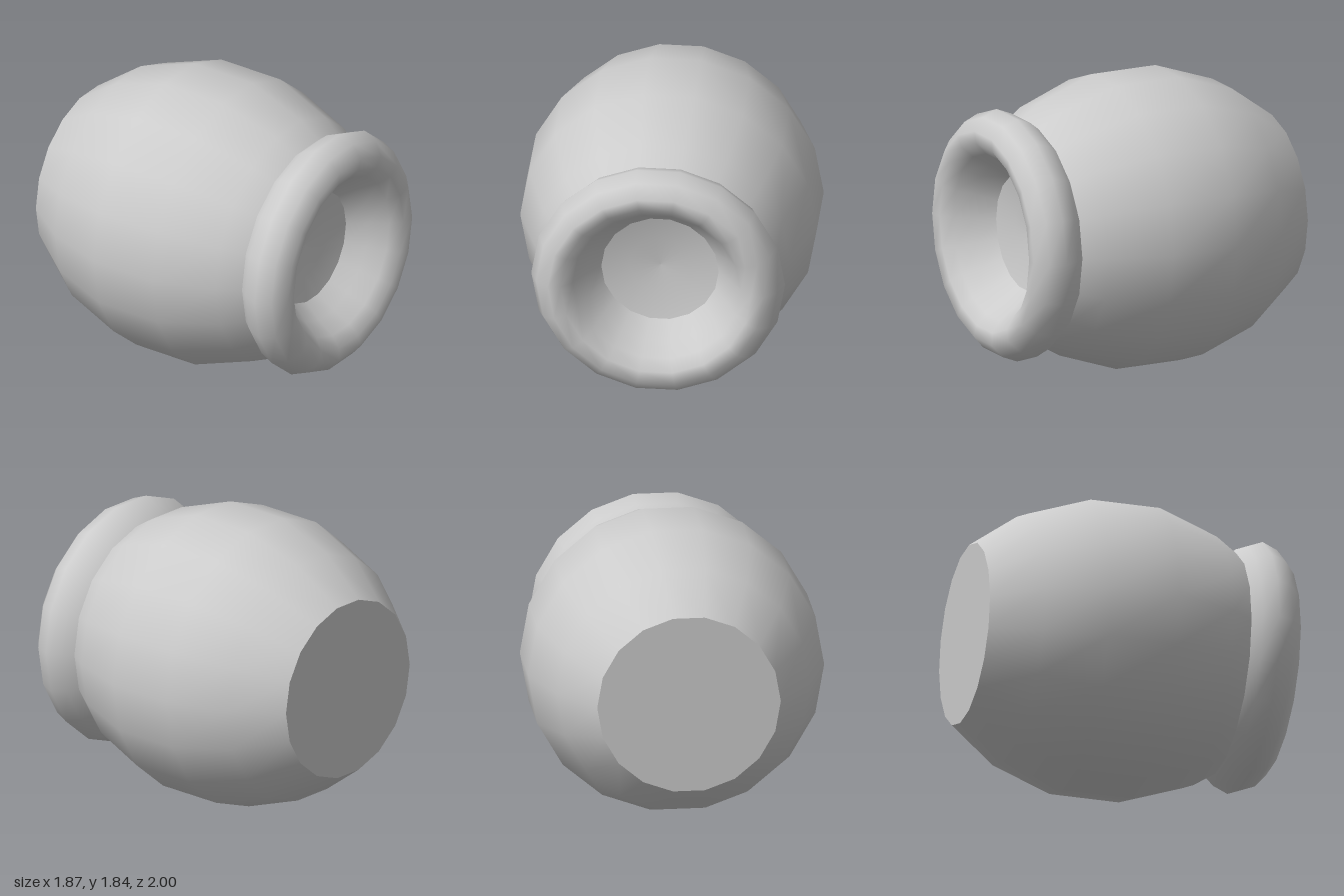
import * as THREE from 'three';

const SIDES = 18;
const AXIS_Y = 0.92;

// Revolve [radius, z] pairs around the jar's axis, which lies along z
function turned(name, profile, material) {
  const points = profile.map(([r, z]) => new THREE.Vector2(r, z));
  const geometry = new THREE.LatheGeometry(points, SIDES, Math.PI / 2);
  geometry.rotateX(Math.PI / 2);
  const mesh = new THREE.Mesh(geometry, material);
  mesh.name = name;
  mesh.position.y = AXIS_Y;
  return mesh;
}

export function createModel() {
  const model = new THREE.Group();
  model.name = 'barrelJar';
  const grey = new THREE.MeshStandardMaterial({ color: 0xcccccc, side: THREE.DoubleSide });

  // Flat closed end at the back
  model.add(turned('backEnd', [[0, -1], [0.58, -1]], grey));

  // Bulging body, narrowing to the neck
  model.add(turned('body', [
    [0.58, -1], [0.8, -0.7], [0.935, -0.31], [0.935, 0.14], [0.8, 0.53], [0.71, 0.67],
  ], grey));

  // Rounded rim rolling over into the mouth
  model.add(turned('rim', [
    [0.71, 0.67], [0.76, 0.73], [0.8, 0.83], [0.76, 0.93], [0.68, 1],
    [0.6, 0.99], [0.53, 0.93], [0.46, 0.82], [0.37, 0.71],
  ], grey));

  // Shallow dished floor inside the mouth
  model.add(turned('mouthFloor', [[0.37, 0.71], [0.2, 0.67], [0, 0.655]], grey));

  return model;
}
